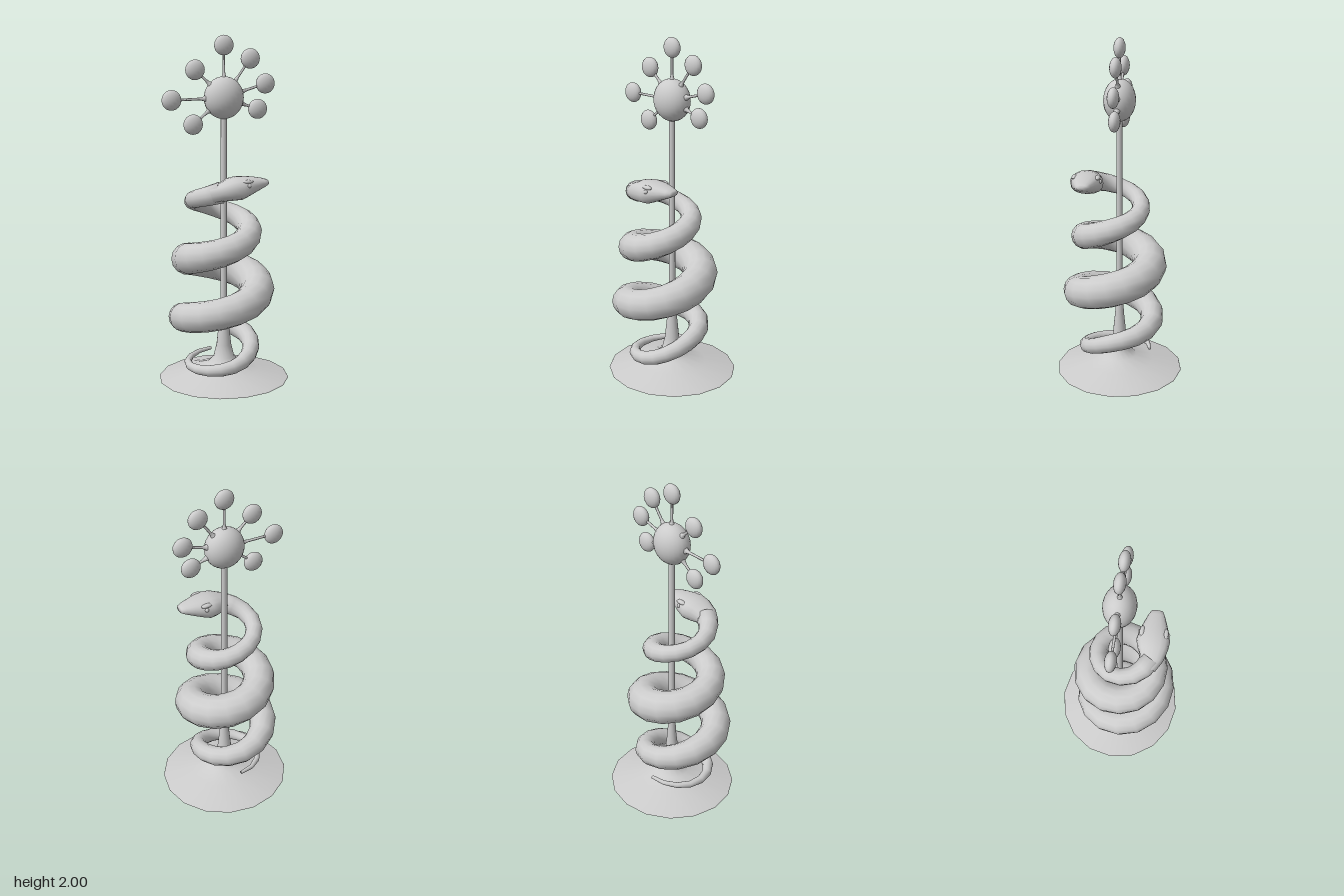
import * as THREE from 'three';

const material = new THREE.MeshStandardMaterial({ color: 0xcccccc });

function add(parent, name, geometry, position = [0, 0, 0], scale = [1, 1, 1]) {
  const mesh = new THREE.Mesh(geometry, material);
  mesh.name = name;
  mesh.position.set(...position);
  mesh.scale.set(...scale);
  parent.add(mesh);
  return mesh;
}

// Closed skin over elliptical sections { p, w, h } set square to their path
function loft(sections, sides, power = 1) {
  const rings = [{ ...sections[0], w: 0, h: 0 }, ...sections, { ...sections.at(-1), w: 0, h: 0 }];
  const last = sections.length - 1;
  const up = new THREE.Vector3(0, 1, 0);
  const round = (v) => Math.sign(v) * Math.abs(v) ** power;
  const positions = [], index = [];
  rings.forEach(({ p, w, h }, r) => {
    const i = Math.min(Math.max(r - 1, 0), last);
    const tangent = sections[Math.min(i + 1, last)].p.clone().sub(sections[Math.max(i - 1, 0)].p).normalize();
    const side = tangent.clone().cross(up).normalize();
    const top = side.clone().cross(tangent);
    for (let j = 0; j < sides; j++) {
      const a = (j / sides) * Math.PI * 2;
      const v = p.clone().addScaledVector(side, round(Math.cos(a)) * w).addScaledVector(top, round(Math.sin(a)) * h);
      positions.push(v.x, v.y, v.z);
      if (r < rings.length - 1) {
        const k = (j + 1) % sides, n = r * sides, m = n + sides;
        index.push(n + j, m + j, n + k, n + k, m + j, m + k);
      }
    }
  });
  const geometry = new THREE.BufferGeometry();
  geometry.setAttribute('position', new THREE.Float32BufferAttribute(positions, 3));
  geometry.setIndex(index);
  geometry.computeVertexNormals();
  return geometry;
}

function makeStand() {
  const stand = new THREE.Group();
  stand.name = 'stand';
  // Flared foot running up into a thin pole
  const profile = [[0.372, 0], [0.368, 0.006], [0.2, 0.05], [0.1, 0.085], [0.06, 0.125],
    [0.042, 0.2], [0.026, 0.36], [0.019, 0.5], [0.017, 1.58]].map(([x, y]) => new THREE.Vector2(x, y));
  add(stand, 'footAndPole', new THREE.LatheGeometry(profile, 16), [0, 0, 0], [1.03, 1, 1]);
  add(stand, 'footUnderside', new THREE.CircleGeometry(0.372, 16).rotateX(Math.PI / 2), [0, 0, 0], [1.03, 1, 1]);
  return stand;
}

function makeFinial() {
  const finial = new THREE.Group();
  finial.name = 'finial';
  const centre = new THREE.Vector3(0, 1.65, 0);
  add(finial, 'hub', new THREE.SphereGeometry(1, 24, 16), centre.toArray(), [0.115, 0.12, 0.091]);
  // Flattened knobs on spokes around the hub
  const knobs = [[0, 1.943], [0.158, 1.866], [0.25, 1.723], [0.204, 1.58],
    [-0.182, 1.505], [-0.308, 1.645], [-0.17, 1.81]];
  for (const [x, y] of knobs) {
    const end = new THREE.Vector3(x, y, 0);
    const dir = end.clone().sub(centre);
    const length = dir.length();
    const spokeShape = [[0.026, 0.1], [0.012, 0.122], [0.0075, 0.145], [0.0075, length]]
      .map(([r, t]) => new THREE.Vector2(r, t));
    const spoke = add(finial, 'spoke', new THREE.LatheGeometry(spokeShape, 8), centre.toArray());
    spoke.quaternion.setFromUnitVectors(new THREE.Vector3(0, 1, 0), dir.normalize());
    add(finial, 'knob', new THREE.SphereGeometry(1, 18, 12), [x, y, 0], [0.057, 0.057, 0.033]);
  }
  return finial;
}

function makeSnake() {
  const snake = new THREE.Group();
  snake.name = 'snake';

  // Coil: [coil radius, height, body radius] at each quarter turn, tail to neck
  const knots = [[0.215, 0.12, 0.01], [0.2, 0.1, 0.024], [0.17, 0.125, 0.04], [0.17, 0.22, 0.052],
    [0.225, 0.3, 0.065], [0.235, 0.4, 0.085], [0.215, 0.48, 0.09], [0.2, 0.575, 0.1],
    [0.21, 0.66, 0.1], [0.2, 0.745, 0.09], [0.175, 0.825, 0.078], [0.15, 0.92, 0.068],
    [0.155, 1.0, 0.053], [0.175, 1.085, 0.049], [0.16, 1.165, 0.066]];
  const curve = new THREE.CatmullRomCurve3(knots.map((k) => new THREE.Vector3(...k)), false, 'catmullrom', 0.5);
  const coil = [];
  for (let k = 0; k <= 13.75; k += 0.25) {
    const { x: radius, y, z: girth } = curve.getPoint(k / (knots.length - 1));
    const a = Math.PI * (1.5 - k / 2);
    coil.push({ p: new THREE.Vector3(-0.02 + radius * Math.cos(a), y, 0.035 + radius * Math.sin(a)), w: girth, h: girth });
  }
  add(snake, 'body', loft(coil, 14));

  // Broad flat head: [x, y, z, half width, half height] from neck to snout
  const head = [[-0.13, 1.13, 0.17, 0.055, 0.045], [-0.08, 1.147, 0.19, 0.068, 0.051],
    [-0.03, 1.16, 0.19, 0.086, 0.062], [0.02, 1.165, 0.186, 0.095, 0.065],
    [0.07, 1.175, 0.185, 0.083, 0.054], [0.12, 1.182, 0.185, 0.064, 0.04],
    [0.165, 1.187, 0.185, 0.046, 0.026], [0.19, 1.19, 0.185, 0.032, 0.015]];
  add(snake, 'head', loft(head.map(([x, y, z, w, h]) => ({ p: new THREE.Vector3(x, y, z), w, h })), 16, 0.85));

  // Eyes under small brow ridges
  for (const s of [-1, 1]) {
    add(snake, 'eye', new THREE.SphereGeometry(0.012, 12, 8), [0.055, 1.188, 0.185 + s * 0.08]);
    add(snake, 'brow', new THREE.SphereGeometry(1, 12, 8), [0.05, 1.208, 0.185 + s * 0.066], [0.034, 0.012, 0.016]);
  }
  return snake;
}

export function createModel() {
  const model = new THREE.Group();
  model.name = 'coiledSnakeOrnament';
  model.add(makeStand(), makeFinial(), makeSnake());
  return model;
}
